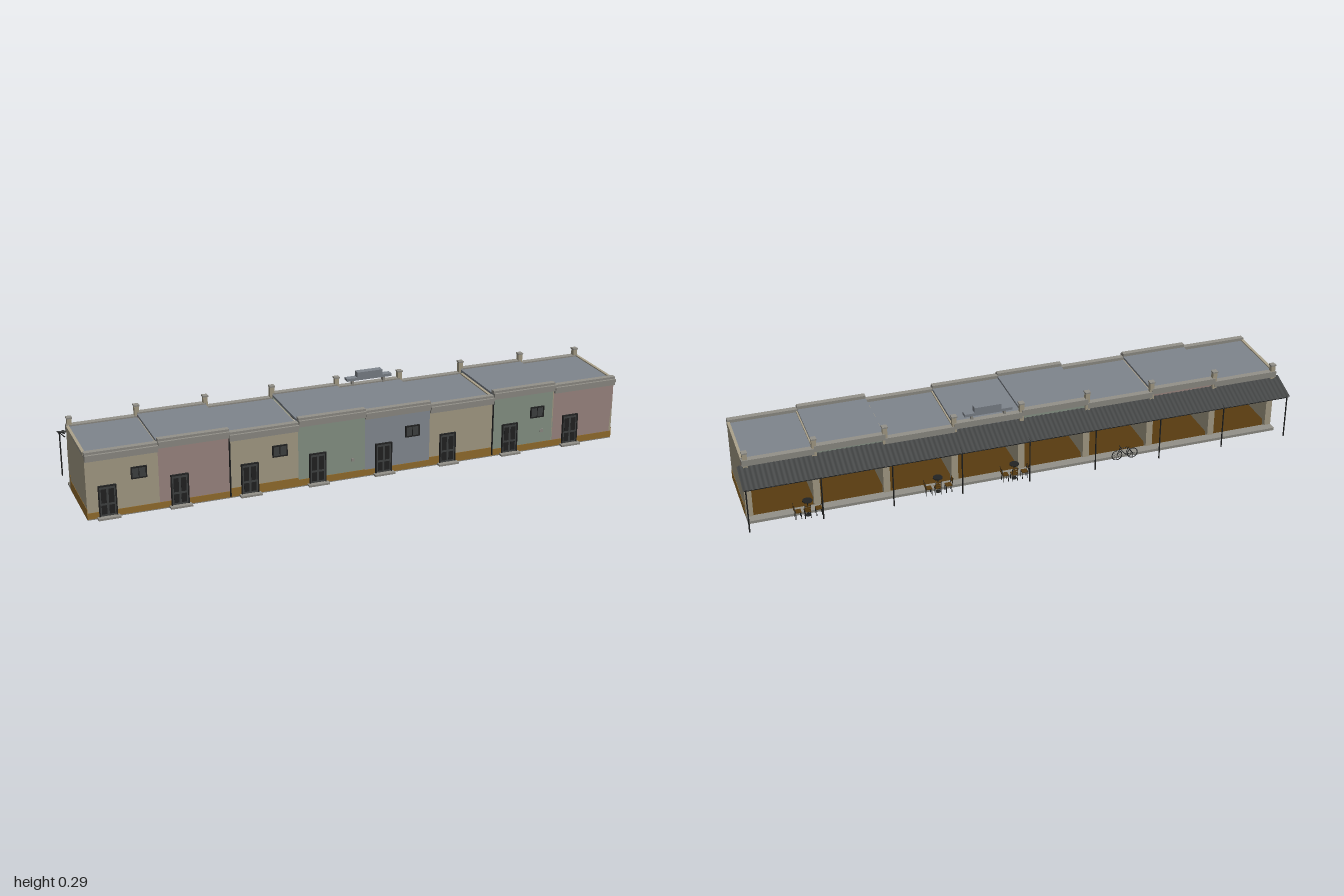
import * as THREE from 'three';

const mat = (name, color) => {
  const m = new THREE.MeshStandardMaterial({ color, side: THREE.DoubleSide });
  m.name = name;
  return m;
};

export function createModel() {
  const M = {
    tan: mat('tan plaster', 0xaca38c),
    pink: mat('pink plaster', 0xa38d87),
    green: mat('green plaster', 0x8d9a8c),
    blue: mat('blue grey plaster', 0x8b929a),
    ochre: mat('ochre dado', 0x9a7230),
    stone: mat('stone trim', 0x93918a),
    roof: mat('grey roofing', 0x7f858d),
    dark: mat('charcoal', 0x424444),
    brown: mat('brown floor', 0x593c10),
    black: mat('black metal', 0x232424),
  };
  const root = new THREE.Group();
  root.name = 'shopRow';

  // Box given by its limits on each axis
  const box = (name, m, x0, x1, y0, y1, z0, z1, parent = root) => {
    const mesh = new THREE.Mesh(new THREE.BoxGeometry(x1 - x0, y1 - y0, z1 - z0), m);
    mesh.position.set((x0 + x1) / 2, (y0 + y1) / 2, (z0 + z1) / 2);
    mesh.name = name;
    parent.add(mesh);
    return mesh;
  };
  // Round bar between two points
  const bar = (name, m, a, b, r, parent = root) => {
    const p = new THREE.Vector3(...a), q = new THREE.Vector3(...b);
    const mesh = new THREE.Mesh(new THREE.CylinderGeometry(r, r, p.distanceTo(q), 8), m);
    mesh.position.copy(p).add(q).multiplyScalar(0.5);
    mesh.quaternion.setFromUnitVectors(new THREE.Vector3(0, 1, 0), q.sub(p).normalize());
    mesh.name = name;
    parent.add(mesh);
    return mesh;
  };

  const W = 0.246, X0 = -4 * W;
  const colours = ['tan', 'pink', 'tan', 'green', 'blue', 'tan', 'green', 'pink'];
  const heights = [0.24, 0.252, 0.239, 0.254, 0.246, 0.234, 0.25, 0.24];
  const dados = [0.028, 0.028, 0.038, 0.03, 0.028, 0.038, 0.03, 0.03];

  // Base slab and rear pavement
  box('baseSlab', M.stone, X0, -X0, 0.002, 0.007, -0.095, 0.178);
  box('rearPavement', M.stone, X0, -X0, 0.003, 0.013, -0.13, -0.095);

  const door = (x) => {
    const g = new THREE.Group();
    g.name = 'door';
    root.add(g);
    box('doorLeaf', M.dark, x - 0.029, x + 0.029, 0.008, 0.118, 0.177, 0.182, g);
    for (const s of [-1, 1]) {
      box('doorFrame', M.black, x + s * 0.029 - 0.002, x + s * 0.029 + 0.002, 0.008, 0.12, 0.177, 0.185, g);
      for (const [a, b] of [[0.018, 0.05], [0.058, 0.108]])
        box('doorPanel', M.black, x + s * 0.013 - 0.009, x + s * 0.013 + 0.009, a, b, 0.181, 0.183, g);
    }
    box('doorHead', M.black, x - 0.031, x + 0.031, 0.117, 0.121, 0.177, 0.185, g);
    box('doorStep', M.stone, x - 0.038, x + 0.038, 0.004, 0.011, 0.178, 0.2, g);
  };

  const smallWindow = (x, y) => {
    box('windowPane', M.dark, x - 0.026, x + 0.026, y - 0.019, y + 0.019, 0.177, 0.181);
    for (const s of [-1, 1]) {
      box('windowSide', M.black, x + s * 0.025 - 0.002, x + s * 0.025 + 0.002, y - 0.02, y + 0.02, 0.178, 0.184);
      box('windowRail', M.black, x - 0.027, x + 0.027, y + s * 0.019 - 0.002, y + s * 0.019 + 0.002, 0.178, 0.184);
    }
    box('windowMullion', M.black, x - 0.001, x + 0.001, y - 0.019, y + 0.019, 0.18, 0.183);
  };

  // Eight shops side by side
  colours.forEach((c, i) => {
    const a = X0 + i * W, b = a + W, h = heights[i], m = M[c];
    box('frontWall', m, a, b, 0.007, h - 0.006, 0.168, 0.178);
    box('frontDado', M.ochre, a, b, 0.006, dados[i], 0.177, 0.1795);
    box('floor', M.brown, a + 0.004, b - 0.004, 0.006, 0.009, -0.092, 0.168);
    box('roofSlab', M.roof, a, b, h - 0.013, h - 0.005, -0.095, 0.178);
    // Stepped cornice and coping at the front
    box('corniceLower', M.stone, a, b, h - 0.026, h - 0.014, 0.178, 0.188);
    box('corniceUpper', M.stone, a, b, h - 0.014, h - 0.002, 0.178, 0.193);
    box('frontCoping', M.stone, a, b, h - 0.006, h + 0.006, 0.165, 0.185);
    // Rear fascia over the open shop front
    box('rearFascia', m, a, b, 0.16, h - 0.006, -0.095, -0.082);
    box('rearLintel', M.dark, a + 0.012, b - 0.012, 0.148, 0.162, -0.097, -0.08);
    box('rearCornice', M.stone, a, b, h - 0.022, h, -0.11, -0.088);
    door(a + 0.07);
    if (i % 2 === 0) smallWindow(a + 0.179, 0.15);
    if (i === 3 || i === 6) box('wallVent', M.stone, a + 0.195, a + 0.207, 0.068, 0.08, 0.177, 0.181);
  });

  // Party walls, rear piers, roof pillars, canopy posts and brackets
  for (let i = 0; i <= 8; i++) {
    const x = X0 + i * W, end = i === 0 ? 1 : i === 8 ? -1 : 0;
    const lo = i === 0 ? heights[0] : i === 8 ? heights[7] : Math.min(heights[i - 1], heights[i]);
    const hi = Math.max(heights[i - 1] ?? 0, heights[i] ?? 0);
    const c = x + end * 0.004, p = x + end * 0.012;
    box('partyWall', M.tan, c - 0.004, c + 0.004, 0.004, lo - 0.006, -0.082, 0.178);
    box('rearPier', M.tan, p - 0.012, p + 0.012, 0.004, 0.162, -0.1, -0.08);
    box('roofPillar', M.tan, p - 0.008, p + 0.008, 0.16, hi + 0.022, -0.107, -0.09);
    box('pillarCap', M.stone, p - 0.01, p + 0.01, hi + 0.022, hi + 0.027, -0.109, -0.088);
    if (end || i > 4) box('roofRidge', M.tan, c - 0.005, c + 0.005, lo - 0.008, lo - 0.001, -0.09, 0.17);
    const q = x - end * 0.006;
    bar('canopyPost', M.black, [q, 0.013, -0.193], [q, 0.18, -0.193], 0.0025);
    bar('canopyStrut', M.black, [q, 0.197, -0.095], [q, 0.175, -0.192], 0.0018);
    bar('canopyRafter', M.black, [q, 0.21, -0.095], [q, 0.177, -0.197], 0.0022);
  }

  // Ochre dado on the end walls, raised at the rear corner
  for (const s of [-1, 1]) {
    const x = -s * X0;
    box('endDado', M.ochre, x - 0.001, x + 0.001, 0.005, 0.043, -0.08, 0.1785);
    box('endDadoCorner', M.ochre, x - 0.001, x + 0.001, 0.043, 0.062, -0.08, -0.075);
  }
  // Downpipes
  for (const x of [X0 + 2 * W, X0 + 6 * W]) bar('downpipe', M.black, [x, 0.01, 0.183], [x, 0.225, 0.183], 0.003);

  // Corrugated canopy along the rear
  const sheet = new THREE.PlaneGeometry(2, 1, 480, 1);
  const pos = sheet.attributes.position;
  for (let i = 0; i < pos.count; i++) {
    const t = 0.5 - pos.getY(i), wave = Math.floor(i % 481 / 2) % 2 ? 0.001 : -0.001;
    pos.setXYZ(i, -pos.getX(i), 0.215 - 0.036 * t + wave, -0.095 - 0.104 * t);
  }
  sheet.computeVertexNormals();
  const canopy = new THREE.Mesh(sheet, M.dark);
  canopy.name = 'canopy';
  root.add(canopy);
  box('canopyBeam', M.black, -0.995, 0.995, 0.174, 0.178, -0.196, -0.191);

  // Stepped rooftop pediment
  box('pedimentBase', M.roof, 0.035, 0.208, 0.262, 0.272, -0.105, -0.08);
  box('pedimentTop', M.roof, 0.075, 0.172, 0.272, 0.292, -0.105, -0.08);
  for (const x of [0.06, 0.18]) box('pedimentFoot', M.stone, x - 0.004, x + 0.004, 0.24, 0.263, -0.1, -0.085);

  // Hanging boards and wall lamps under the canopy
  for (const i of [1, 4, 6]) {
    const x = X0 + (i + 0.5) * W;
    bar('boardArm', M.black, [x, 0.178, -0.095], [x, 0.178, -0.15], 0.0015);
    box('hangingBoard', M.ochre, x - 0.002, x + 0.002, 0.152, 0.176, -0.148, -0.108);
  }
  for (let i = 1; i < 8; i++) box('wallLamp', M.black, X0 + i * W - 0.004, X0 + i * W + 0.004, 0.145, 0.16, -0.107, -0.1);

  // Chair: faces the direction d along x
  const chair = (x, z, d) => {
    const g = new THREE.Group();
    g.name = 'chair';
    for (const s of [-1, 1]) for (const t of [-1, 1])
      bar('chairLeg', M.black, [s * 0.01, 0, t * 0.01], [s * 0.009, 0.026, t * 0.009], 0.0013, g);
    box('chairSeat', M.brown, -0.011, 0.011, 0.025, 0.028, -0.011, 0.011, g);
    for (const s of [-1, 1]) bar('chairBackPost', M.black, [s * 0.01, 0.027, -0.01], [s * 0.01, 0.055, -0.015], 0.0012, g);
    for (const y of [0.037, 0.045, 0.052]) box('chairSlat', M.brown, -0.01, 0.01, y - 0.002, y + 0.002, -0.015, -0.0125, g);
    g.position.set(x, 0.003, z);
    g.rotation.y = d;
    root.add(g);
  };
  // Cafe tables with chairs
  for (const x of [0.78, 0.32, 0.04]) {
    bar('tableStem', M.black, [x, 0.004, -0.139], [x, 0.061, -0.139], 0.002);
    bar('tableTop', M.black, [x, 0.06, -0.139], [x, 0.063, -0.139], 0.018);
    bar('tableFoot', M.black, [x, 0.003, -0.139], [x, 0.005, -0.139], 0.01);
    chair(x + 0.036, -0.145, -Math.PI / 2);
    chair(x - 0.036, -0.145, Math.PI / 2);
    chair(x + 0.004, -0.149, 0);
  }

  // Bicycle parked on the pavement edge
  const bike = new THREE.Group();
  bike.name = 'bicycle';
  for (const s of [-1, 1]) {
    const wheel = new THREE.Mesh(new THREE.TorusGeometry(0.019, 0.0016, 6, 24), M.black);
    wheel.position.set(s * 0.03, 0.021, 0);
    wheel.name = 'wheel';
    bike.add(wheel);
    for (let k = 0; k < 4; k++) {
      const cx = 0.019 * Math.cos(k * Math.PI / 4), cy = 0.019 * Math.sin(k * Math.PI / 4);
      bar('spoke', M.black, [s * 0.03 - cx, 0.021 - cy, 0], [s * 0.03 + cx, 0.021 + cy, 0], 0.0004, bike);
    }
  }
  const B = { rear: [-0.03, 0.021, 0], crank: [-0.004, 0.019, 0], seat: [-0.012, 0.048, 0], head: [0.02, 0.046, 0], front: [0.03, 0.021, 0] };
  for (const [a, b] of [['rear', 'crank'], ['rear', 'seat'], ['crank', 'seat'], ['crank', 'head'], ['seat', 'head'], ['head', 'front']])
    bar('bikeFrame', M.black, B[a], B[b], 0.0013, bike);
  box('saddle', M.brown, -0.02, -0.006, 0.048, 0.051, -0.003, 0.003, bike);
  bar('handlebar', M.black, [0.018, 0.053, -0.012], [0.018, 0.053, 0.012], 0.0012, bike);
  bar('handlebarStem', M.black, [0.02, 0.046, 0], [0.018, 0.053, 0], 0.0012, bike);
  bike.position.set(-0.38, 0.002, -0.142);
  root.add(bike);

  return root;
}
